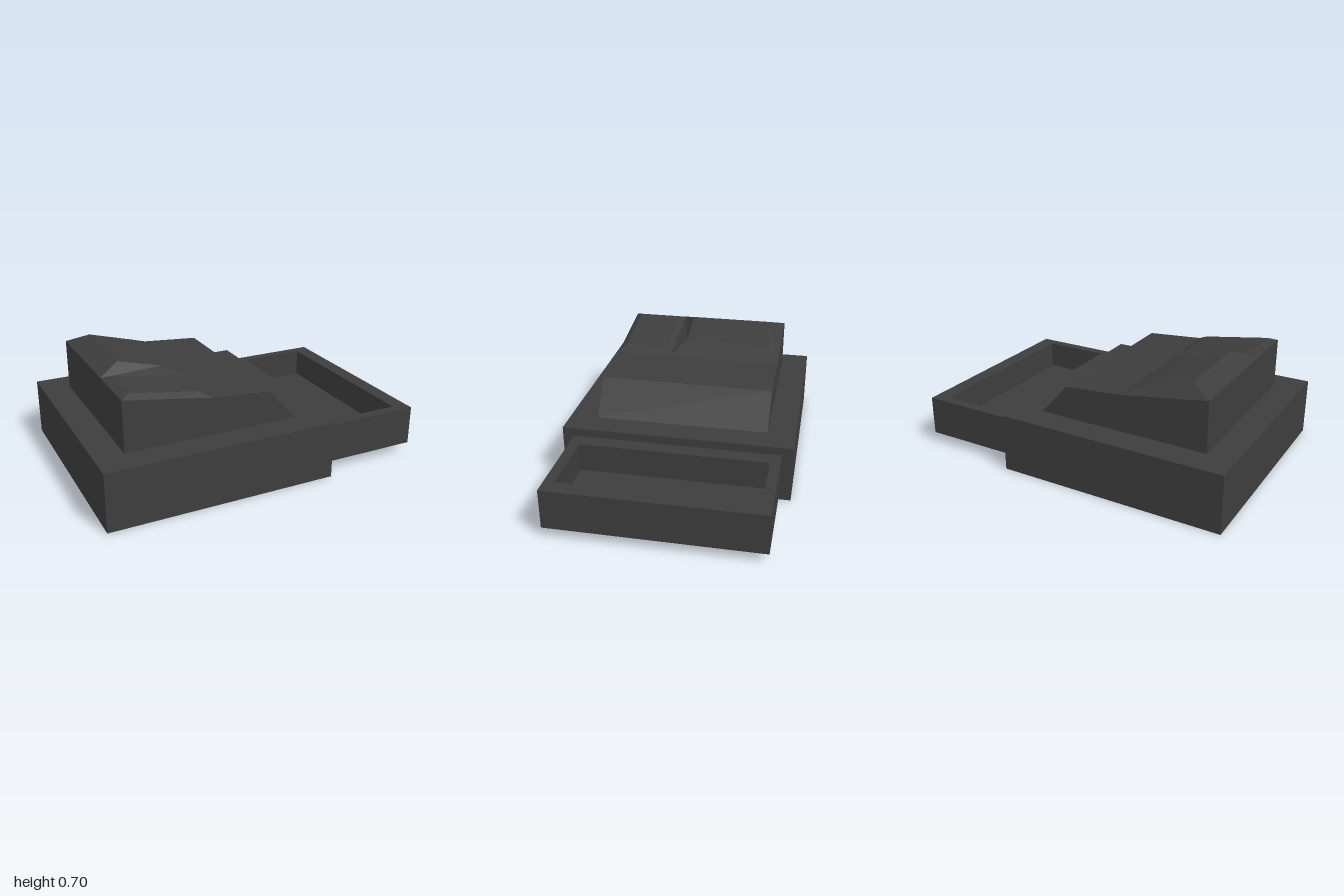
import * as THREE from 'three';

const charcoal = new THREE.MeshStandardMaterial({ color: 0x3d3d3d });
charcoal.name = 'charcoal';

function addMesh(parent, name, geometry, x = 0, y = 0, z = 0) {
  const mesh = new THREE.Mesh(geometry, charcoal);
  mesh.name = name;
  mesh.position.set(x, y, z);
  parent.add(mesh);
  return mesh;
}

// Four corners of a sloped quad, counter-clockwise from above; yLeft and yRight are heights at x0 and x1
const slopedQuad = (x0, x1, z0, z1, yLeft, yRight) =>
  [[x0, yLeft, z1], [x1, yRight, z1], [x1, yRight, z0], [x0, yLeft, z0]];

// Raised pad: bevelled sides joining a lower quad to a smaller upper one
function padGeometry(lower, upper) {
  const corners = [];
  for (let i = 0; i < 4; i++) {
    const j = (i + 1) % 4;
    corners.push(lower[i], lower[j], upper[j], lower[i], upper[j], upper[i]);
  }
  corners.push(upper[0], upper[1], upper[2], upper[0], upper[2], upper[3]);
  const geometry = new THREE.BufferGeometry();
  geometry.setAttribute('position', new THREE.Float32BufferAttribute(corners.flat(), 3));
  geometry.computeVertexNormals();
  return geometry;
}

function rectangle(Type, x0, x1, halfDepth) {
  return new Type([[x0, -halfDepth], [x1, -halfDepth], [x1, halfDepth], [x0, halfDepth]]
    .map(([x, y]) => new THREE.Vector2(x, y)));
}

export function createModel() {
  const model = new THREE.Group();
  model.name = 'model';

  // Broad base block
  addMesh(model, 'base', new THREE.BoxGeometry(1.385, 0.35, 1.385), -0.3075, 0.175, 0);

  // Upper housing with a sloping top, extruded across the depth
  const profile = new THREE.Shape([
    [-0.83, 0.35], [0.22, 0.35], [0.05, 0.545], [-0.305, 0.573], [-0.83, 0.655],
  ].map(([x, y]) => new THREE.Vector2(x, y)));
  addMesh(model, 'housing',
    new THREE.ExtrudeGeometry(profile, { depth: 1.05, bevelEnabled: false }), 0, 0, -0.525);

  // Two bevelled pads sharing the rear slope of the housing
  addMesh(model, 'largePad', padGeometry(
    slopedQuad(-0.83, -0.305, -0.525, 0.175, 0.655, 0.573),
    slopedQuad(-0.70, -0.44, -0.44, 0.09, 0.705, 0.634)));
  addMesh(model, 'smallPad', padGeometry(
    slopedQuad(-0.83, -0.305, 0.175, 0.525, 0.655, 0.573),
    slopedQuad(-0.775, -0.37, 0.215, 0.485, 0.671, 0.608)));

  // Side tray: a solid floor below a rim with a rectangular opening
  const tray = new THREE.Group();
  tray.name = 'tray';
  model.add(tray);
  addMesh(tray, 'trayFloor', new THREE.BoxGeometry(0.615, 0.065, 1.25), 0.6925, 0.0925, 0);
  const rim = rectangle(THREE.Shape, 0.385, 1, 0.625);
  rim.holes.push(rectangle(THREE.Path, 0.48, 0.905, 0.565));
  const rimGeometry = new THREE.ExtrudeGeometry(rim, { depth: 0.175, bevelEnabled: false });
  rimGeometry.rotateX(-Math.PI / 2);
  addMesh(tray, 'trayRim', rimGeometry, 0, 0.125, 0);

  return model;
}
